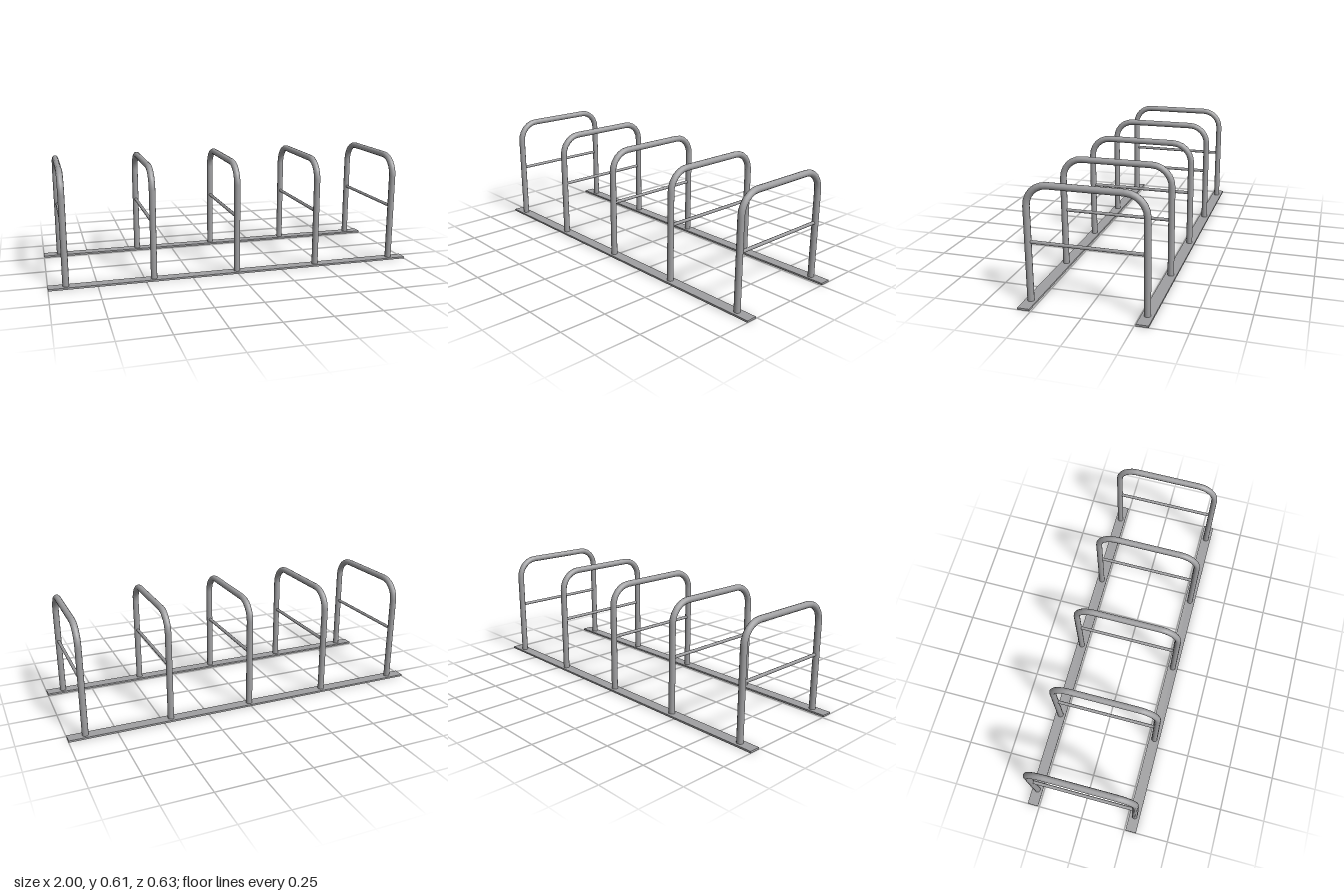
import * as THREE from 'three';

const HALF = 0.2875;   // leg distance from the centre line
const TUBE = 0.017;    // hoop tube radius
const TOP = 0.59;      // height of the top bar's axis
const BEND = 0.105;    // bend radius
const PLATE = 0.01;    // rail thickness

export function createModel() {
  const steel = new THREE.MeshStandardMaterial({ color: 0xa0a0a2 });
  const rack = new THREE.Group();
  rack.name = 'bikeRack';

  const add = (parent, name, geometry, x, y, z) => {
    const mesh = new THREE.Mesh(geometry, steel);
    mesh.name = name;
    mesh.position.set(x, y, z);
    parent.add(mesh);
    return mesh;
  };

  // Shared hoop pieces
  const bendY = TOP - BEND;
  const bendZ = HALF - BEND;
  const legHeight = bendY - PLATE;
  const leg = new THREE.CylinderGeometry(TUBE, TUBE, legHeight, 12, 1, true);
  const bend = new THREE.TorusGeometry(BEND, TUBE, 12, 6, Math.PI / 2);
  const topBar = new THREE.CylinderGeometry(TUBE, TUBE, bendZ * 2, 12, 1, true).rotateX(Math.PI / 2);
  const crossBar = new THREE.CylinderGeometry(0.009, 0.009, (HALF - TUBE) * 2 + 0.01, 8).rotateX(Math.PI / 2);

  // Five hoops, each with a cross bar
  for (let i = -2; i <= 2; i++) {
    const hoop = new THREE.Group();
    hoop.name = 'hoop';
    hoop.position.x = i * 0.455;
    for (const side of [1, -1]) {
      add(hoop, 'leg', leg, 0, PLATE + legHeight / 2, side * HALF);
      add(hoop, 'bend', bend, 0, bendY, side * bendZ).rotation.y = -side * Math.PI / 2;
    }
    add(hoop, 'topBar', topBar, 0, TOP, 0);
    add(hoop, 'crossBar', crossBar, 0, 0.31, 0);
    rack.add(hoop);
  }

  // Flat ground rails under the legs
  const rail = new THREE.BoxGeometry(2, PLATE, 0.06);
  add(rack, 'frontRail', rail, 0, PLATE / 2, HALF);
  add(rack, 'backRail', rail, 0, PLATE / 2, -HALF);

  return rack;
}
